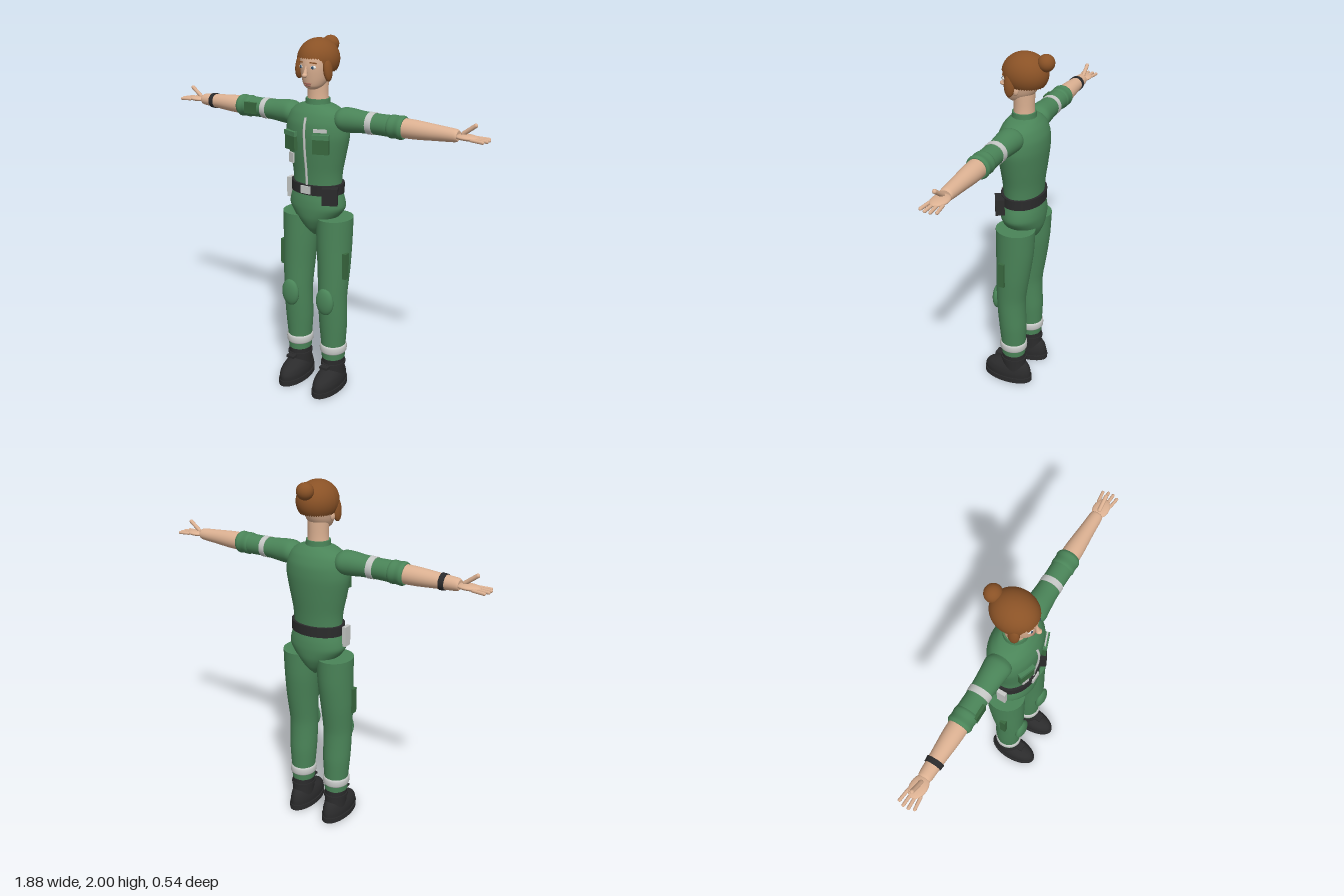
import * as THREE from 'three';

const mat = (name, color, side = THREE.FrontSide) => {
  const m = new THREE.MeshStandardMaterial({ color, side });
  m.name = name;
  return m;
};

// Smooth solid through rings [y, rx, rz, cx, cz], flat at both ends
function loft(rings, seg = 28, sub = 4) {
  const spline = f => new THREE.CatmullRomCurve3(rings.map(f), false, 'catmullrom', 0.4);
  const size = spline(r => new THREE.Vector3(r[1], r[0], r[2]));
  const mid = spline(r => new THREE.Vector3(r[3] || 0, r[0], r[4] || 0));
  const n = (rings.length - 1) * sub, pos = [], idx = [];
  const ring = t => {
    const s = size.getPoint(t), c = mid.getPoint(t);
    for (let i = 0; i < seg; i++) {
      const a = i / seg * Math.PI * 2;
      pos.push(c.x + Math.cos(a) * s.x, s.y, c.z + Math.sin(a) * s.z);
    }
    return [c.x, s.y, c.z];
  };
  for (let j = 0; j <= n; j++) ring(j / n);
  for (let j = 0; j < n; j++) for (let i = 0; i < seg; i++) {
    const k = (i + 1) % seg, a = j * seg + i, b = j * seg + k;
    idx.push(a, a + seg, b, b, a + seg, b + seg);
  }
  for (const t of [0, 1]) {
    const base = pos.length / 3;
    pos.push(...ring(t));
    for (let i = 0; i < seg; i++) {
      const a = base + i, b = base + (i + 1) % seg;
      if (t) idx.push(base + seg, b, a); else idx.push(base + seg, a, b);
    }
  }
  const g = new THREE.BufferGeometry();
  g.setAttribute('position', new THREE.Float32BufferAttribute(pos, 3));
  g.setIndex(idx);
  g.computeVertexNormals();
  return g;
}

export function createModel() {
  const green = mat('uniform green', 0x4a8458), dark = mat('pocket green', 0x39693f);
  const skin = mat('skin', 0xdcb192), brown = mat('hair brown', 0x8a5226, THREE.DoubleSide);
  const black = mat('black leather', 0x2b2b2c), pale = mat('reflective grey', 0xc6c8c6);
  const white = mat('eye white', 0xe8e8e4), iris = mat('iris blue', 0x34506a), lip = mat('lip', 0xa3665a);

  const model = new THREE.Group(), body = new THREE.Group();
  model.name = 'standingFigure';
  body.name = 'body';
  body.rotation.y = -0.235;
  model.add(body);

  const add = (name, geo, m, p = [0, 0, 0], r = [0, 0, 0], parent = body) => {
    const mesh = new THREE.Mesh(geo, m);
    mesh.name = name;
    mesh.position.set(...p);
    mesh.rotation.set(...r);
    parent.add(mesh);
    return mesh;
  };
  const box = (name, size, m, p, r, parent) => add(name, new THREE.BoxGeometry(...size), m, p, r, parent);
  const ball = (name, s, m, p, r, parent) =>
    add(name, new THREE.SphereGeometry(1, 24, 16).scale(...s), m, p, r, parent);

  // Torso, collar and neck
  add('torso', loft([[0.935, 0.015, 0.04], [0.98, 0.06, 0.085], [1.04, 0.12, 0.112], [1.1, 0.165, 0.118],
    [1.15, 0.16, 0.114], [1.21, 0.142, 0.103], [1.3, 0.146, 0.108], [1.4, 0.166, 0.12], [1.5, 0.185, 0.129],
    [1.57, 0.18, 0.125], [1.62, 0.16, 0.105], [1.652, 0.115, 0.08], [1.668, 0.06, 0.06]], 40), green);
  add('collar', loft([[1.64, 0.074, 0.07], [1.665, 0.068, 0.065], [1.692, 0.066, 0.063]]), green);
  add('neck', loft([[1.66, 0.06, 0.056], [1.72, 0.056, 0.054], [1.8, 0.058, 0.056]]), skin);

  // Belt and what hangs on it
  add('belt', loft([[1.185, 0.156, 0.117], [1.212, 0.156, 0.117], [1.24, 0.156, 0.117]], 40, 1), black);
  box('buckle', [0.06, 0.042, 0.012], pale, [0, 1.214, 0.118]);
  box('beltPouch', [0.085, 0.092, 0.05], black, [0.132, 1.19, 0.083], [0, 0.5, 0]);
  box('radio', [0.022, 0.112, 0.05], pale, [-0.17, 1.18, 0.015]);

  // Chest details
  const zip = new THREE.CatmullRomCurve3([[1.24, 0.107], [1.32, 0.112], [1.42, 0.125], [1.5, 0.13], [1.56, 0.128],
    [1.605, 0.115]].map(([y, z]) => new THREE.Vector3(0, y, z)));
  add('zip', new THREE.TubeGeometry(zip, 24, 0.007, 8), pale);
  for (const s of [-1, 1]) {
    box('chestPocket', [0.088, 0.1, 0.022], dark, [s * 0.094, 1.472, 0.115], [0, s * 0.35, 0]);
    box('pocketFlap', [0.092, 0.025, 0.026], green, [s * 0.094, 1.512, 0.116], [0, s * 0.35, 0]);
  }
  box('nameTag', [0.072, 0.018, 0.008], pale, [0.092, 1.545, 0.118], [0, 0.35, 0]);
  box('hangingBadge', [0.038, 0.055, 0.009], pale, [-0.095, 1.378, 0.112], [0, -0.35, 0]);

  // Arms run along local y and are laid out sideways
  for (const s of [1, -1]) {
    const side = new THREE.Group(), arm = new THREE.Group();
    side.name = s > 0 ? 'leftArm' : 'rightArm';
    side.rotation.y = s > 0 ? 0 : Math.PI;
    arm.name = 'armParts';
    arm.position.y = 1.595;
    arm.rotation.z = -Math.PI / 2;
    side.add(arm);
    body.add(side);
    add('sleeve', loft([[0.12, 0.04, 0.05], [0.16, 0.062, 0.07], [0.21, 0.064, 0.066], [0.28, 0.057, 0.06],
      [0.36, 0.054, 0.057], [0.44, 0.055, 0.058]]), green, [0, 0, 0], [0, 0, 0], arm);
    add('rolledCuff', loft([[0.435, 0.053, 0.056], [0.45, 0.06, 0.062], [0.48, 0.058, 0.06], [0.505, 0.061, 0.063],
      [0.52, 0.054, 0.056]]), green, [0, 0, 0], [0, 0, 0], arm);
    add('sleeveBand', loft([[0.318, 0.058, 0.061], [0.352, 0.057, 0.06]], 28, 1), pale, [0, 0, 0], [0, 0, 0], arm);
    add('forearm', loft([[0.49, 0.05, 0.051], [0.58, 0.048, 0.049], [0.7, 0.039, 0.04], [0.79, 0.032, 0.035],
      [0.805, 0.024, 0.03]]), skin, [0, 0, 0], [0, 0, 0], arm);
    if (s < 0) add('wristBand', loft([[0.708, 0.043, 0.045], [0.735, 0.041, 0.043]], 24, 1), black,
      [0, 0, 0], [0, 0, 0], arm);

    // Hand, palm flat and thumb raised
    ball('palm', [0.062, 0.015, 0.043], skin, [0.848, 1.594, 0], [0, 0, 0], side);
    for (let i = 0; i < 4; i++) {
      const k = i - 1.5, len = 0.072 - Math.abs(k) * 0.008;
      add('finger', new THREE.CapsuleGeometry(0.0085, len, 4, 10), skin,
        [0.922 - Math.abs(k) * 0.006, 1.59, k * 0.025], [0, -k * 0.08, -Math.PI / 2 - 0.03], side);
    }
    add('thumb', new THREE.CapsuleGeometry(0.011, 0.075, 4, 10), skin, [0.858, 1.632, 0], [0, 0, -0.92], side);
  }
  box('sleevePocket', [0.08, 0.062, 0.016], dark, [-0.415, 1.597, 0.054]);

  // Legs and boots
  for (const s of [1, -1]) {
    const leg = new THREE.Group();
    leg.name = s > 0 ? 'leftLeg' : 'rightLeg';
    leg.position.x = s * 0.117;
    body.add(leg);
    const part = (name, rings, m, sub) => add(name, loft(rings, 32, sub), m, [0, 0, 0], [0, 0, 0], leg);
    part('trouserLeg', [[0.195, 0.066, 0.07, 0, 0.015], [0.28, 0.07, 0.073, 0, 0.015],
      [0.4, 0.079, 0.08, 0, 0.018], [0.5, 0.081, 0.082, 0, 0.024], [0.6, 0.082, 0.085, 0, 0.026],
      [0.75, 0.09, 0.096, 0, 0.014], [0.9, 0.097, 0.106, -s * 0.005, 0.004],
      [1.05, 0.1, 0.11, -s * 0.006, 0]], green);
    part('ankleBand', [[0.232, 0.07, 0.074, 0, 0.015], [0.242, 0.077, 0.081, 0, 0.015],
      [0.272, 0.077, 0.081, 0, 0.015], [0.282, 0.07, 0.074, 0, 0.015]], pale, 2);
    ball('kneePad', [0.056, 0.08, 0.028], green, [0, 0.575, 0.108], [0, 0, 0], leg);
    box('thighPocket', [0.048, 0.15, 0.034], dark, [s * 0.078, 0.79, 0.04], [0, 0, 0], leg);

    part('sole', [[0, 0.074, 0.153, 0, 0.052], [0.032, 0.074, 0.153, 0, 0.052]], black, 1);
    part('bootFoot', [[0.03, 0.068, 0.147, 0, 0.052], [0.06, 0.069, 0.146, 0, 0.052], [0.09, 0.064, 0.132, 0, 0.046],
      [0.115, 0.054, 0.1, 0, 0.03], [0.135, 0.04, 0.06, 0, 0.02]], black);
    part('bootShaft', [[0.03, 0.062, 0.075, 0, 0.005], [0.1, 0.062, 0.073, 0, 0.012],
      [0.215, 0.065, 0.069, 0, 0.015]], black);
    part('bootStrap', [[0.148, 0.068, 0.078, 0, 0.015], [0.166, 0.068, 0.078, 0, 0.015]], black, 1);
    box('strapTab', [0.05, 0.014, 0.04], black, [0, 0.157, 0.105], [0, 0, 0], leg);
  }

  // Head and face
  add('head', loft([[1.745, 0.025, 0.03, 0, 0.045], [1.762, 0.05, 0.06, 0, 0.034], [1.8, 0.069, 0.083, 0, 0.02],
    [1.86, 0.081, 0.1, 0, 0.01], [1.92, 0.083, 0.102, 0, 0], [1.97, 0.055, 0.07, 0, 0]], 36), skin);
  ball('noseTip', [0.014, 0.012, 0.014], skin, [0, 1.822, 0.122]);
  add('noseBridge', new THREE.ConeGeometry(0.014, 0.065, 12), skin, [0, 1.85, 0.112], [-0.22, 0, 0]);
  ball('upperLip', [0.023, 0.005, 0.008], lip, [0, 1.778, 0.094]);
  ball('lowerLip', [0.019, 0.005, 0.008], lip, [0, 1.768, 0.091]);
  for (const s of [-1, 1]) {
    ball('eye', [0.016, 0.009, 0.008], white, [s * 0.036, 1.862, 0.097], [0, s * 0.3, 0]);
    ball('iris', [0.007, 0.008, 0.004], iris, [s * 0.036, 1.862, 0.104], [0, s * 0.3, 0]);
    box('eyebrow', [0.036, 0.006, 0.008], brown, [s * 0.037, 1.885, 0.099], [0, s * 0.35, -s * 0.12]);
    ball('ear', [0.012, 0.026, 0.017], skin, [s * 0.08, 1.822, 0.012]);
    ball('sideLock', [0.021, 0.062, 0.03], brown, [s * 0.087, 1.85, 0.04], [0, 0, s * 0.1]);
  }

  // Hair cap: a ball whose lower edge rises over the forehead
  const hair = new THREE.SphereGeometry(1, 48, 24), p = hair.attributes.position, uv = hair.attributes.uv;
  for (let i = 0; i < p.count; i++) {
    const phi = uv.getX(i) * Math.PI * 2;
    const edge = 2.2 - 0.72 * THREE.MathUtils.smoothstep(Math.sin(phi), 0.3, 0.85);
    const t = (1 - uv.getY(i)) * edge;
    p.setXYZ(i, -Math.cos(phi) * Math.sin(t) * 0.107, Math.cos(t) * 0.107, Math.sin(phi) * Math.sin(t) * 0.122);
  }
  hair.computeVertexNormals();
  add('hairCap', hair, brown, [0, 1.893, -0.006]);
  ball('hairBun', [0.046, 0.044, 0.044], brown, [0, 1.958, -0.118]);

  return model;
}
